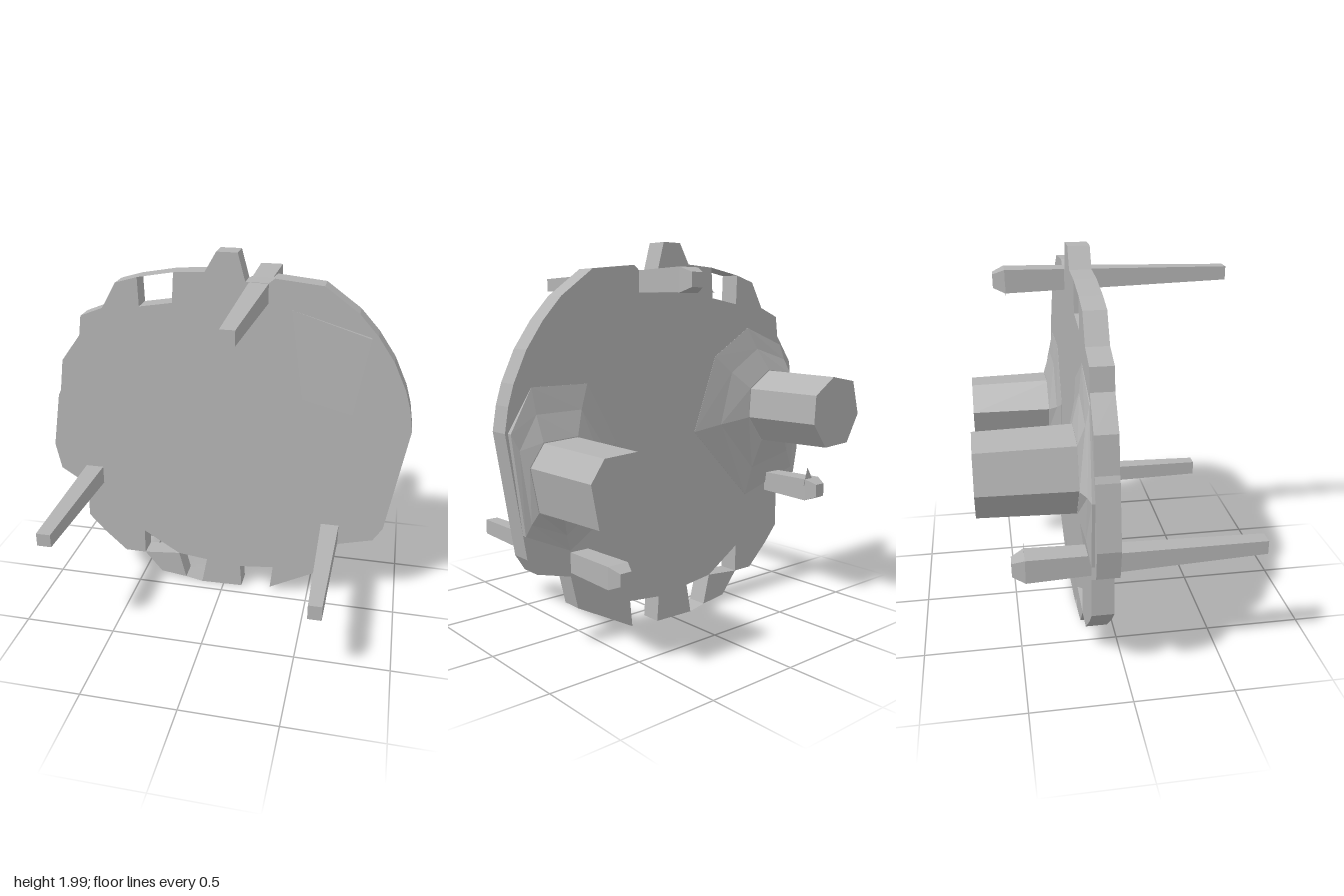
import * as THREE from 'three';

const grey = new THREE.MeshStandardMaterial({ color: 0xb3b3b3, flatShading: true });
grey.name = 'grey';
const sheetGrey = grey.clone();
sheetGrey.side = THREE.DoubleSide;

const FRONT = -0.065, BACK = -0.175;

// Joins loops of points, ordered front to back and counter-clockwise seen from the front.
function loft(loops) {
  const pos = [];
  const tri = (...pts) => pts.forEach((p) => pos.push(...p));
  const n = loops[0].length;
  for (let k = 0; k < loops.length - 1; k++) {
    for (let i = 0; i < n; i++) {
      const j = (i + 1) % n, f = loops[k], b = loops[k + 1];
      tri(f[i], b[i], b[j]);
      tri(f[i], b[j], f[j]);
    }
  }
  const first = loops[0], last = loops[loops.length - 1];
  for (let i = 1; i < n - 1; i++) {
    tri(first[0], first[i], first[i + 1]);
    tri(last[0], last[i + 1], last[i]);
  }
  const g = new THREE.BufferGeometry();
  g.setAttribute('position', new THREE.Float32BufferAttribute(pos, 3));
  g.computeVertexNormals();
  return g;
}

const rect = (x0, x1, y0, y1, z) => [[x0, y0, z], [x1, y0, z], [x1, y1, z], [x0, y1, z]];
const atZ = (pts, z) => pts.map(([x, y]) => [x, y, z]);

// Loop scaled about its own centre.
function inflate(pts, s, z) {
  const cx = pts.reduce((a, p) => a + p[0], 0) / pts.length;
  const cy = pts.reduce((a, p) => a + p[1], 0) / pts.length;
  return pts.map(([x, y]) => [cx + (x - cx) * s, cy + (y - cy) * s, z]);
}

function slab(points) {
  const shape = new THREE.Shape(points.map(([x, y]) => new THREE.Vector2(x, y)));
  const g = new THREE.ExtrudeGeometry(shape, { depth: FRONT - BACK, bevelEnabled: false });
  return g.translate(0, 0, BACK);
}

export function createModel() {
  const model = new THREE.Group();
  const add = (name, geometry, material = grey) => {
    const mesh = new THREE.Mesh(geometry, material);
    mesh.name = name;
    model.add(mesh);
  };

  // Irregular plate with notches around its rim
  add('plate', slab([
    [-0.04, 1.985], [0.07, 1.985], [0.11, 1.84], [0.23, 1.84], [0.26, 1.865], [0.51, 1.84],
    [0.69, 1.71], [0.79, 1.6], [0.88, 1.47], [0.95, 1.32], [0.98, 1.22], [1, 1.1],
    [0.9, 0.5], [0.85, 0.42], [0.66, 0.37], [0.62, 0.2], [0.28, 0.02], [0.295, 0.16],
    [0.1, 0.14], [0.11, 0.005], [-0.13, 0], [-0.1, 0.16], [-0.27, 0.18], [-0.48, 0.31],
    [-0.48, 0.16], [-0.6, 0.16], [-0.73, 0.28], [-0.82, 0.38], [-0.815, 0.58], [-0.97, 0.68],
    [-1, 0.83], [-0.95, 1.14], [-0.935, 1.17], [-0.91, 1.35], [-0.8, 1.5], [-0.785, 1.61],
    [-0.66, 1.66], [-0.58, 1.8], [-0.46, 1.835], [-0.455, 1.68], [-0.275, 1.71],
    [-0.265, 1.87], [-0.1, 1.88],
  ]));
  add('lowerTab', slab([[-0.48, 0.16], [-0.27, 0.18], [-0.23, 0.02], [-0.38, 0.04]]));

  // Thin rim strips bridging two of the notches
  for (const [a, b] of [[[-0.46, 1.835], [-0.265, 1.87]], [[-0.23, 0.02], [-0.13, 0]]]) {
    const strip = new THREE.PlaneGeometry(Math.hypot(b[0] - a[0], b[1] - a[1]), FRONT - BACK);
    strip.rotateX(-Math.PI / 2).rotateZ(Math.atan2(b[1] - a[1], b[0] - a[0]));
    strip.translate((a[0] + b[0]) / 2, (a[1] + b[1]) / 2, (FRONT + BACK) / 2);
    add('rimStrip', strip, sheetGrey);
  }

  // Slightly raised panel on the front, fading into the plate at its inner side
  const panel = [[0.35, 1.71], [0.42, 1.23], [0.69, 1.17], [0.76, 1.59]];
  const lift = [0.001, 0.001, 0.02, 0.02];
  add('frontPanel', loft([panel.map(([x, y], i) => [x, y, FRONT + lift[i]]), atZ(panel, -0.08)]));

  // Tapered pegs through the plate: front tip, waist, back and chamfered end
  const pegs = {
    upperPeg: [[0.14, 0.21, 1.755, 1.825], [0.12, 0.24, 1.725, 1.845]],
    leftPeg: [[0.575, 0.645, 0.4, 0.48], [0.55, 0.665, 0.385, 0.495]],
    rightPeg: [[-0.8, -0.725, 0.63, 0.7], [-0.825, -0.71, 0.595, 0.715]],
  };
  for (const [name, [tip, [x0, x1, y0, y1]]] of Object.entries(pegs)) {
    add(name, loft([
      rect(...tip, 0.685),
      rect(x0, x1, y0, y1, -0.48),
      rect(x0 + 0.025, x1 - 0.025, y0 + 0.025, y1 - 0.025, -0.54),
    ]));
  }

  // Small fins beside the back ends of two pegs
  for (const fin of [
    [[0.12, 1.73], [0.12, 1.8], [0.01, 1.73]],
    [[-0.78, 0.7], [-0.7, 0.68], [-0.73, 0.78]],
  ]) {
    const g = new THREE.ShapeGeometry(new THREE.Shape(fin.map((p) => new THREE.Vector2(...p))));
    add('pegFin', g.translate(0, 0, -0.48), sheetGrey);
  }

  // Seven-sided knobs on the back, each rising from a soft mound
  const knobs = {
    left: {
      end: [[0.9, 0.94], [0.83, 1.04], [0.655, 1.05], [0.53, 0.92], [0.58, 0.78], [0.73, 0.69], [0.86, 0.74]],
      foot: [[0.985, 1.1, -0.2], [0.86, 1.3], [0.55, 1.3], [0.38, 1], [0.42, 0.65], [0.66, 0.5], [0.92, 0.62, -0.2]],
    },
    right: {
      end: [[-0.53, 1.21], [-0.67, 1.3], [-0.84, 1.27], [-0.89, 1.09], [-0.8, 0.94], [-0.62, 0.93], [-0.52, 1.06]],
      foot: [[-0.3, 1.4], [-0.55, 1.55], [-0.82, 1.45, -0.18], [-0.955, 1.05, -0.19], [-0.93, 0.72, -0.19], [-0.55, 0.6], [-0.15, 1]],
    },
  };
  for (const [side, { end, foot }] of Object.entries(knobs)) {
    add(side + 'Knob', loft([inflate(end, 1.06, -0.2), atZ(end, -0.685)]));
    const rim = foot.map(([x, y, z = BACK - 0.001]) => [x, y, z]);
    const top = inflate(end, 1.08, -0.237);
    const middle = rim.map((p, i) => [(p[0] + top[i][0]) / 2, (p[1] + top[i][1]) / 2, p[2] * 0.65 + top[i][2] * 0.35]);
    add(side + 'Mound', loft([atZ(foot, -0.15), rim, middle, top]));
  }

  return model;
}
